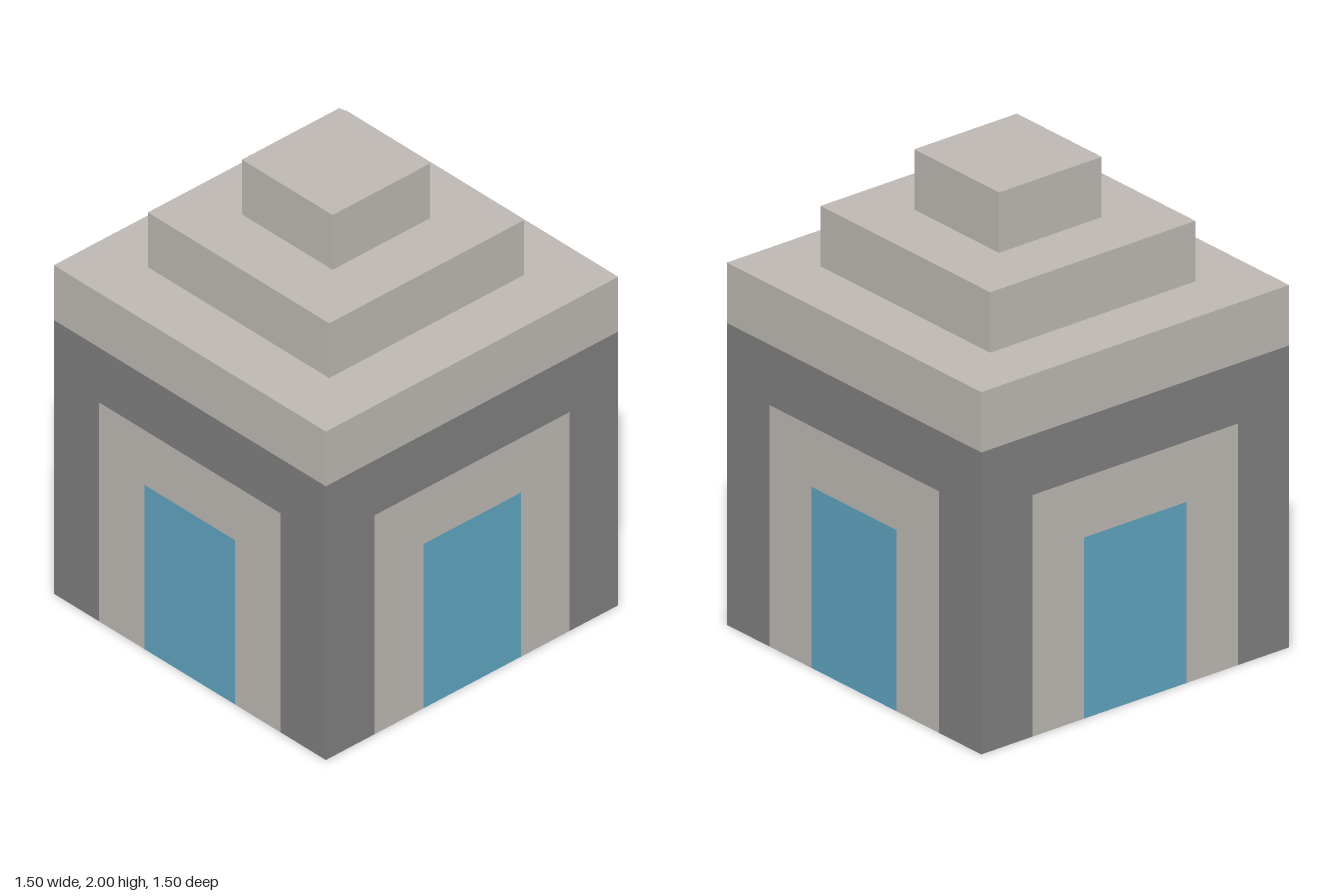
import * as THREE from 'three';

const U = 0.25; // one block

export function createModel() {
  const mat = (name, color) => {
    const m = new THREE.MeshStandardMaterial({ color });
    m.name = name;
    return m;
  };
  const paleStone = mat('pale stone', 0xbeb9b3);
  const darkStone = mat('dark stone', 0x808080);
  const blue = mat('blue door', 0x5fa6c1);
  const teal = mat('teal', 0x55b0b4);

  const model = new THREE.Group();
  model.name = 'shrine';

  const add = (parent, name, geometry, material, x = 0, y = 0, z = 0) => {
    const mesh = new THREE.Mesh(geometry, material);
    mesh.name = name;
    mesh.position.set(x, y, z);
    parent.add(mesh);
  };
  // Box standing on y, sized in blocks
  const block = (parent, name, w, h, d, material, x, y, z) =>
    add(parent, name, new THREE.BoxGeometry(w * U, h * U, d * U), material, x * U, (y + h / 2) * U, z * U);

  // Door surround: an upside-down U, one block thick
  const arch = new THREE.Shape(
    [[-2, 0], [-1, 0], [-1, 3], [1, 3], [1, 0], [2, 0], [2, 4], [-2, 4]]
      .map(([x, y]) => new THREE.Vector2(x * U, y * U)));
  const archGeometry = new THREE.ExtrudeGeometry(arch, { depth: U, bevelEnabled: false });

  // Four equal sides, each with wall header, surround, door, post and inner corner block
  for (let i = 0; i < 4; i++) {
    const side = new THREE.Group();
    side.name = 'wall' + (i + 1);
    side.rotation.y = (i * Math.PI) / 2;
    block(side, 'cornerPost', 1, 5, 1, darkStone, 2.5, 0, 2.5);
    block(side, 'wallHeader', 4, 1, 1, darkStone, 0, 4, 2.5);
    add(side, 'doorSurround', archGeometry, paleStone, 0, 0, 2 * U);
    block(side, 'door', 2, 3, 1, blue, 0, 0, 2.5);
    block(side, 'innerCornerBlock', 1, 1, 1, teal, 1.5, 0, 1.5);
    model.add(side);
  }

  // Stepped roof
  [6, 4, 2].forEach((w, i) => block(model, 'roofStep' + (i + 1), w, 1, w, paleStone, 0, 5 + i, 0));

  return model;
}
